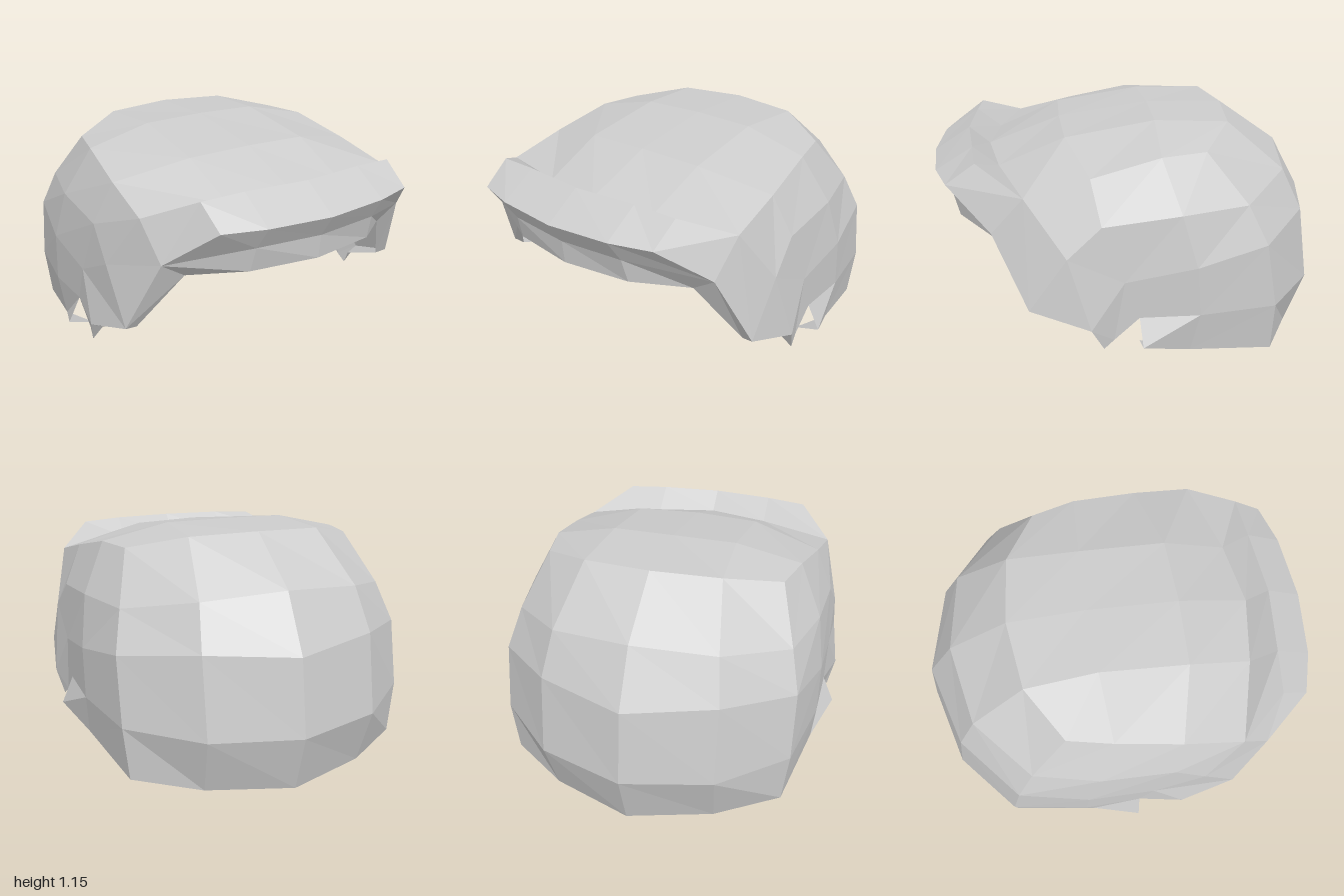
import * as THREE from 'three';

const material = new THREE.MeshStandardMaterial({ color: 0xcccccc, flatShading: true, side: THREE.DoubleSide });

// Turns a list of polygons (arrays of [x, y, z] corners) into a faceted mesh
function polyMesh(name, polygons) {
  const pos = [];
  for (const p of polygons)
    for (let i = 1; i < p.length - 1; i++) pos.push(...p[0], ...p[i], ...p[i + 1]);
  const geo = new THREE.BufferGeometry();
  geo.setAttribute('position', new THREE.Float32BufferAttribute(pos, 3));
  geo.computeVertexNormals();
  const mesh = new THREE.Mesh(geo, material);
  mesh.name = name;
  return mesh;
}

const flip = ([x, y, z]) => [-x, y, z];

// Skins half cross-sections (centre to +x edge) after mirroring them to full width
function sheet(name, halfRows) {
  const rows = halfRows.map(r => [...r.slice(1).reverse().map(flip), ...r]);
  const quads = [];
  for (let i = 0; i < rows.length - 1; i++)
    for (let j = 0; j < rows[0].length - 1; j++)
      quads.push([rows[i][j], rows[i + 1][j], rows[i + 1][j + 1], rows[i][j + 1]]);
  return polyMesh(name, quads);
}

export function createModel() {
  const group = new THREE.Group();
  group.name = 'helmetShell';

  // Back of the shell, from the lower rim up to the crown
  const back = [
    [[0, 0, -0.92], [0.41, 0.015, -0.8], [0.71, 0.05, -0.63]],
    [[0, 0.28, -1], [0.43, 0.29, -0.89], [0.74, 0.31, -0.63]],
    [[0, 0.65, -0.95], [0.43, 0.68, -0.83], [0.74, 0.64, -0.57]],
    [[0, 0.92, -0.8], [0.4, 0.89, -0.73], [0.69, 0.83, -0.48]],
    [[0, 1.14, -0.49], [0.34, 1.13, -0.45], [0.6, 1.07, -0.29]],
  ];

  // Crown, from back to front
  const crown = [
    back[4],
    [[0, 1.15, -0.1], [0.32, 1.145, -0.09], [0.65, 1.07, -0.07]],
    [[0, 1.09, 0.36], [0.33, 1.08, 0.35], [0.69, 1.0, 0.26]],
    [[0, 0.96, 0.72], [0.32, 0.95, 0.67], [0.71, 0.93, 0.56]],
  ];

  // Raised brow, its underside and the lip below it
  const brow = [
    crown[3],
    [[0, 1.05, 0.82], [0.32, 1.05, 0.79], [0.53, 1.04, 0.77]],
    [[0, 0.935, 1], [0.32, 0.94, 0.97], [0.52, 0.94, 0.91]],
    [[0, 0.825, 0.93], [0.33, 0.83, 0.9], [0.69, 0.76, 0.71]],
    [[0, 0.71, 0.92], [0.34, 0.71, 0.87], [0.57, 0.68, 0.7]],
  ];

  group.add(sheet('backShell', back), sheet('crown', crown), sheet('brow', brow));

  // Corner points of one side
  const rear = back.map(r => r[2]).reverse();
  const mid = [crown[1][2], [0.77, 0.83, -0.15], [0.81, 0.58, -0.22], [0.81, 0.33, -0.24], [0.79, 0.13, -0.2]];
  const topFront = crown[2][2], browRoot = crown[3][2], browTop = brow[1][2], browTip = brow[2][2];
  const temple = brow[3][2], templeIn = brow[4][2];
  const upper = [0.78, 0.8, 0.22], centre = [0.8, 0.66, 0.38], earTop = [0.81, 0.53, 0.12];
  const cheek = [0.8, 0.41, 0.56], cheekIn = [0.74, 0.4, 0.55];
  const jaw = [0.85, 0.31, 0.28], jawIn = [0.79, 0.28, 0.28];
  const barb = [0.82, 0.19, 0.22], barbBack = [0.81, 0.23, 0.17];
  const notch = [0.81, 0.34, 0.05], spike = [0.87, 0.21, 0.04], spikeIn = [0.74, 0.17, 0.04];

  const side = [
    [topFront, browRoot, centre, upper],
    [browRoot, temple, cheek, centre],
    [browRoot, browTop, browTip, temple],
    [upper, centre, earTop],
    [centre, cheek, jaw, earTop],
    [earTop, jaw, barbBack, notch],
    [mid[0], topFront, upper, mid[1]],
    [mid[1], upper, earTop, mid[2]],
    [mid[2], earTop, notch, mid[3]],
    [mid[3], notch, spike, mid[4]],
  ];
  for (let i = 0; i < 4; i++) side.push([rear[i], mid[i], mid[i + 1], rear[i + 1]]);

  // Inward rim around the face opening, and the barbs at the ear notch
  const rim = [
    [temple, templeIn, cheekIn, cheek],
    [cheek, cheekIn, jawIn, jaw],
    [jaw, jawIn, barb],
    [jaw, barb, barbBack],
    [spike, spikeIn, mid[4]],
  ];

  for (const [label, sign] of [['left', 1], ['right', -1]]) {
    const place = polys => (sign > 0 ? polys : polys.map(p => p.map(flip).reverse()));
    group.add(polyMesh(label + 'Side', place(side)), polyMesh(label + 'Rim', place(rim)));
  }
  return group;
}
